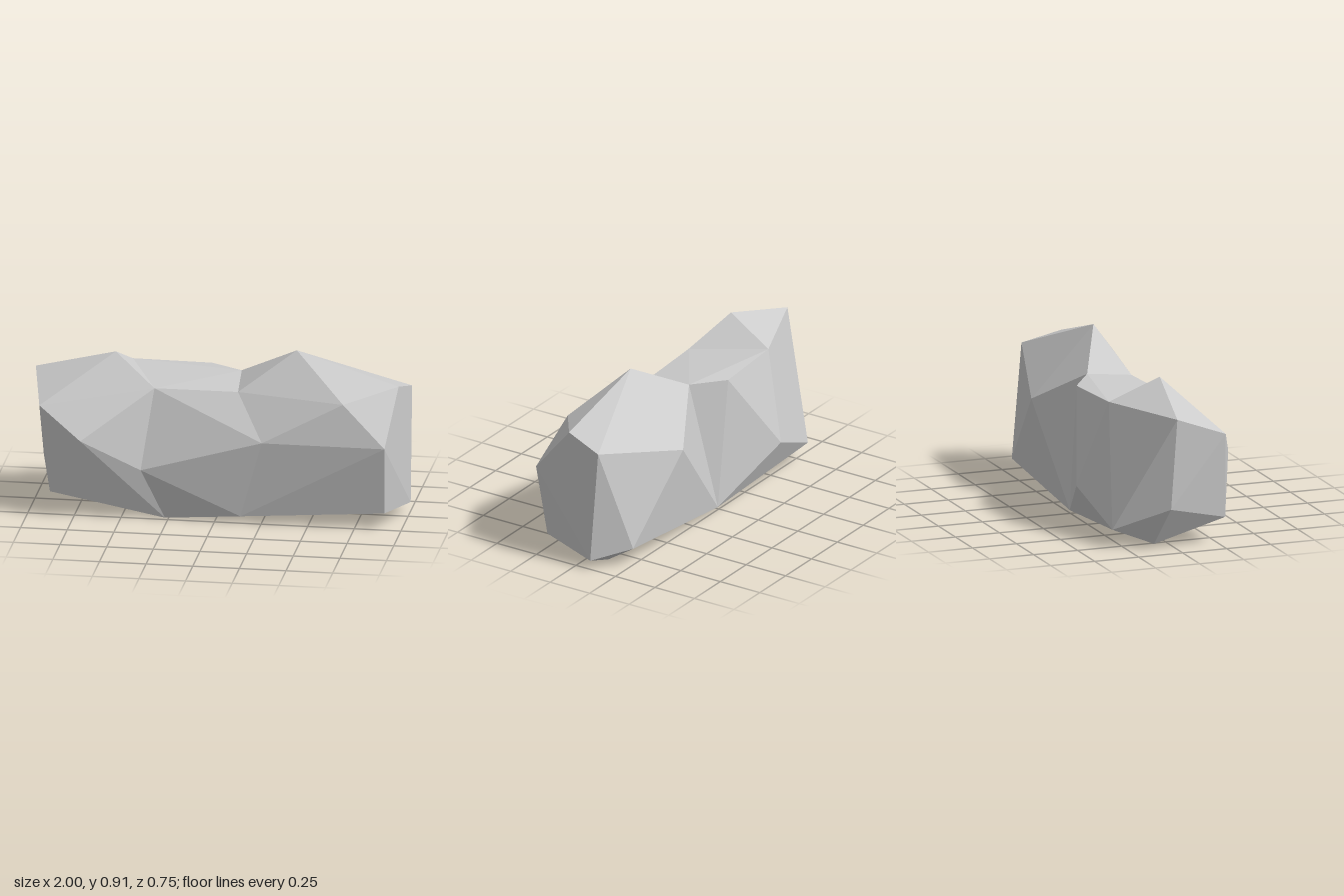
import * as THREE from 'three';
import { ConvexGeometry } from 'three/addons/geometries/ConvexGeometry.js';

const material = new THREE.MeshStandardMaterial({ color: 0xcccccc, flatShading: true });

// One faceted chunk of stone wrapped around its corner points
function chunk(name, corners) {
  const points = corners.map((c) => new THREE.Vector3(...c));
  const mesh = new THREE.Mesh(new ConvexGeometry(points), material);
  mesh.name = name;
  return mesh;
}

export function createModel() {
  // Corner under the back of the waist, shared by all chunks
  const backFoot = [0.01, 0.015, -0.25];

  // Corners where the lower lobe meets the waist
  const lowJoin = [
    [-0.335, 0.7, 0.16], [-0.51, 0.73, -0.23], [-0.41, 0.26, -0.375],
    [-0.39, 0.28, 0.285], [-0.27, 0.0, 0.22],
  ];
  // Corners where the tall lobe meets the waist
  const tallJoin = [
    [0.09, 0.73, -0.12], [0.11, 0.695, 0.14], [0.26, 0.465, 0.29], [0.14, 0.04, 0.255],
  ];

  const lowLobe = [
    [-1, 0.73, -0.03], [-0.56, 0.855, 0.04],                            // crown
    [-0.935, 0.61, 0.27], [-0.7, 0.455, 0.375], [-0.875, 0.14, 0.29],   // front
    [-0.77, 0.1, -0.31], [-0.96, 0.23, -0.05], [-0.84, 0.02, -0.1],     // back and end
  ];
  const tallLobe = [
    [0.41, 0.91, 0.04], [0.96, 0.745, 0.07], [1, 0.685, -0.14],         // crown
    [0.69, 0.69, 0.255], [0.92, 0.47, 0.305], [0.91, 0.09, 0.24],       // front
    [0.43, 0.53, -0.305], [0.84, 0.1, -0.257],                          // back
    [1, 0.05, -0.09], [0.87, 0.015, -0.12],                             // end
    [0.5, 0.015, -0.18], [0.3, 0.015, 0.1],                             // underside
  ];
  const waistRidge = [-0.09, 0.72, -0.25];

  const rock = new THREE.Group();
  rock.name = 'rock';
  rock.add(
    chunk('lowLobe', [...lowLobe, ...lowJoin, backFoot]),
    chunk('waist', [...lowJoin, ...tallJoin, waistRidge, backFoot]),
    chunk('tallLobe', [...tallLobe, ...tallJoin, backFoot]),
  );
  return rock;
}
